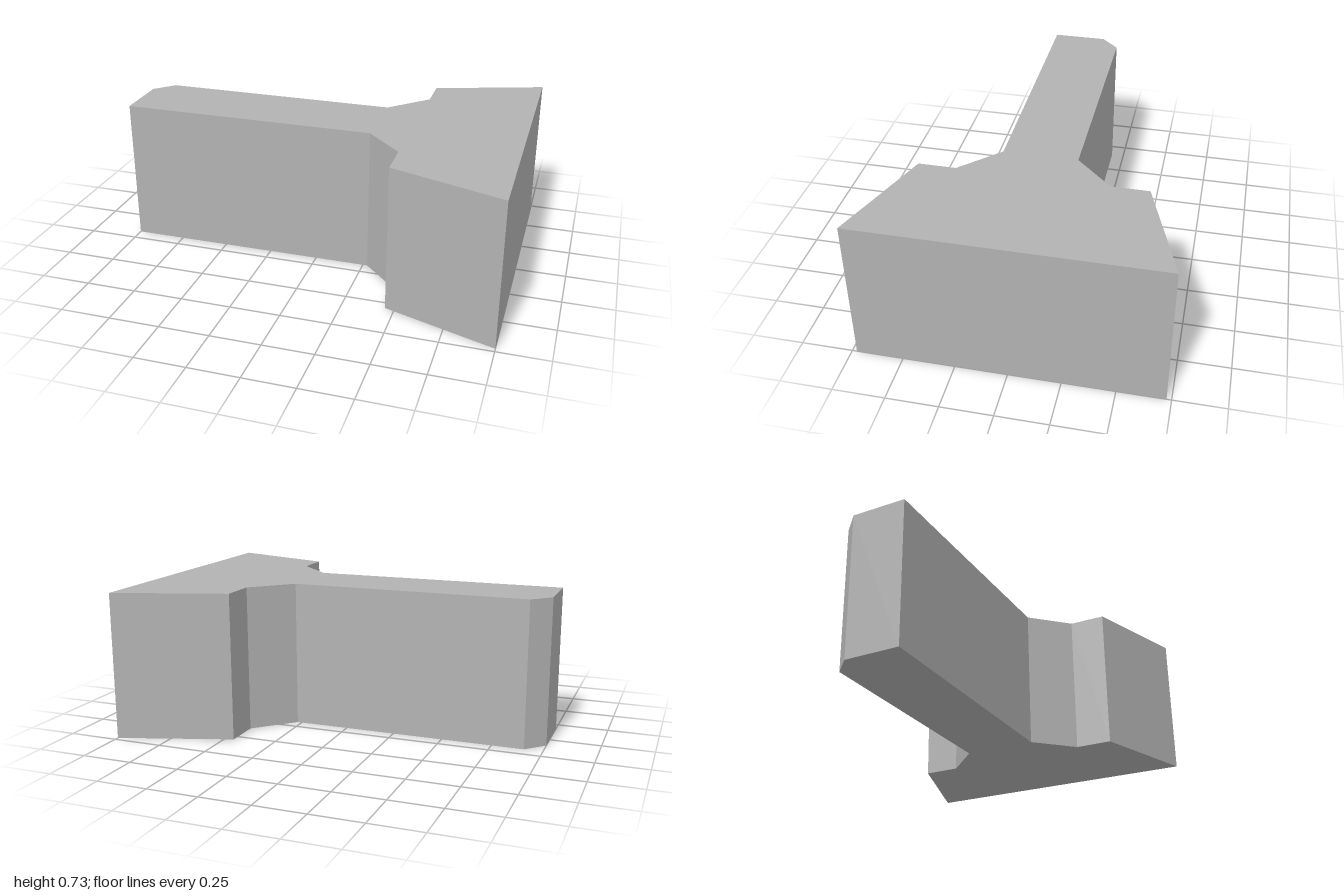
import * as THREE from 'three';

export function createModel() {
  const model = new THREE.Group();
  model.name = 'tSlotBlock';

  const grey = new THREE.MeshStandardMaterial({ color: 0xb2b2b2 });
  grey.name = 'plain grey';

  const unit = 1 / 11; // the block is 22 units long
  const height = 8 * unit;

  // Half outline from the stem end to the flared head
  const half = [[3, 2], [5, 4], [5, 6], [11, 8]];
  const outline = [
    [-11, -2], // square stem corner, front
    ...half.map(([x, y]) => [x, -y]),
    ...half.slice().reverse(),
    [-10, 2], [-11, 1], // chamfered stem corner, back
  ].map(([x, y]) => new THREE.Vector2(x * unit, y * unit));

  // Extruded upward from the ground
  const geometry = new THREE.ExtrudeGeometry(new THREE.Shape(outline), {
    depth: height,
    bevelEnabled: false,
  });
  geometry.rotateX(-Math.PI / 2);

  const block = new THREE.Mesh(geometry, grey);
  block.name = 'block';
  model.add(block);
  return model;
}
